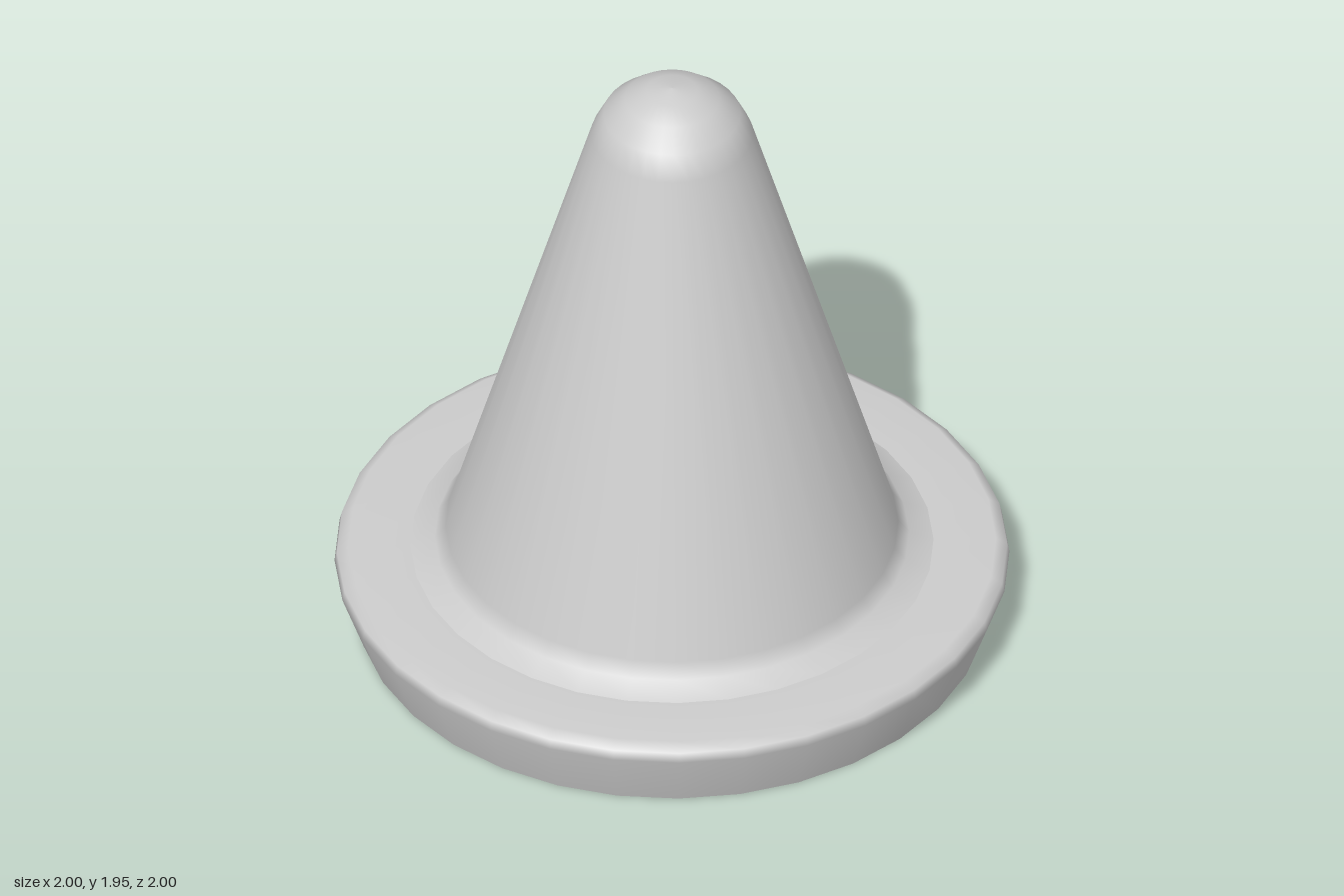
import * as THREE from 'three';

const SIDES = 32;
const FIT = 1 / Math.cos(Math.PI / SIDES); // flats of the polygon sit on the axes

// Turns a profile of [radius, height] pairs, bottom to top, around the y axis
function turned(name, profile, material) {
  const points = profile.map(([r, y]) => new THREE.Vector2(r * FIT, y));
  const geometry = new THREE.LatheGeometry(points, SIDES, Math.PI / SIDES);
  const mesh = new THREE.Mesh(geometry, material);
  mesh.name = name;
  return mesh;
}

export function createModel() {
  const group = new THREE.Group();
  group.name = 'cone';
  const material = new THREE.MeshStandardMaterial({ color: 0xcccccc });

  // Flat underside
  group.add(turned('underside', [[0, 0], [0.935, 0]], material));

  // Flared base wall, bevelled rim and flat brim
  group.add(turned('base', [
    [0.935, 0], [1, 0.185], [0.993, 0.215], [0.96, 0.235], [0.775, 0.235],
  ], material));

  // Filleted foot, straight taper and rounded tip
  group.add(turned('coneBody', [
    [0.775, 0.235], [0.703, 0.265], [0.67, 0.307],
    [0.24, 1.78], [0.203, 1.855], [0.14, 1.91], [0.075, 1.94], [0, 1.95],
  ], material));

  return group;
}
